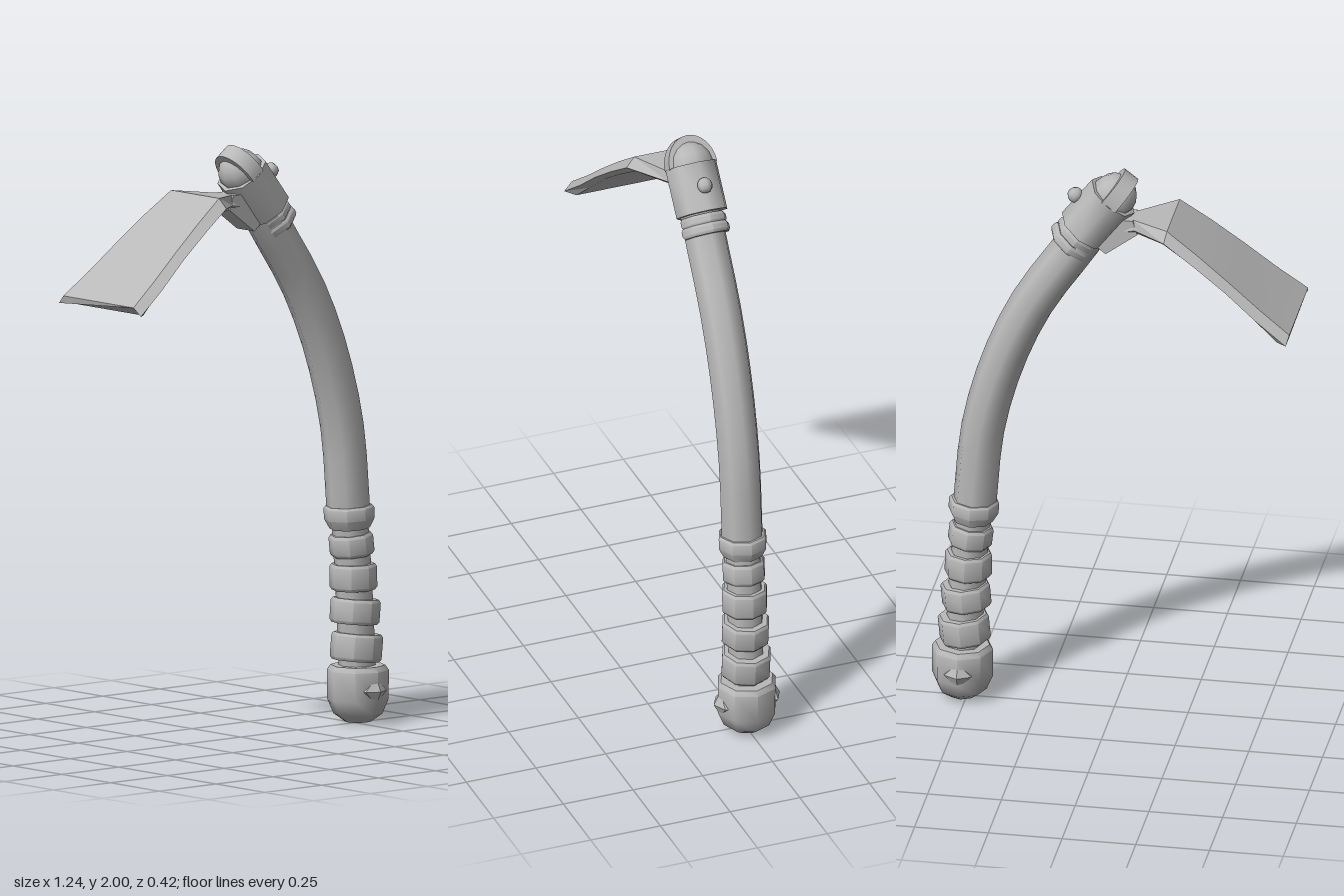
import * as THREE from 'three';
import { toCreasedNormals } from 'three/addons/utils/BufferGeometryUtils.js';

const grey = new THREE.MeshStandardMaterial({ color: 0xb8b8b8 });
grey.name = 'plain grey';

const V = (x, y, z = 0) => new THREE.Vector3(x, y, z);

export function createModel() {
  const model = new THREE.Group();
  model.name = 'hoe';

  function add(name, geometry, parent = model) {
    const mesh = new THREE.Mesh(geometry, grey);
    mesh.name = name;
    parent.add(mesh);
    return mesh;
  }
  // Eight-sided turned part, profile given bottom to top as [radius, height]
  function turned(profile, crease = 0.85) {
    const points = profile.map(([r, y]) => new THREE.Vector2(r, y));
    return toCreasedNormals(new THREE.LatheGeometry(points, 8), crease);
  }
  function band(r, h, inner = 0.055) {
    return turned([[inner, -h], [r - 0.007, -h], [r, -h + 0.01], [r, h - 0.01], [r - 0.007, h], [inner, h]]);
  }

  // Curved shaft
  const shaftPath = new THREE.CatmullRomCurve3([
    V(0.475, 0.70), V(0.445, 1.01), V(0.375, 1.27), V(0.277, 1.49), V(0.125, 1.72), V(0.055, 1.83)]);
  add('shaft', new THREE.TubeGeometry(shaftPath, 12, 0.073, 8));

  // Grip core with its tilted wrappings
  const gripPath = new THREE.CatmullRomCurve3([
    V(0.475, 0.72), V(0.487, 0.6), V(0.503, 0.37), V(0.513, 0.15)]);
  add('gripCore', new THREE.TubeGeometry(gripPath, 6, 0.062, 8));
  const wraps = [
    [0.487, 0.605, 0.075, 0.037, 0.12],
    [0.495, 0.495, 0.080, 0.044, 0.02],
    [0.503, 0.378, 0.084, 0.042, -0.09],
    [0.509, 0.256, 0.087, 0.046, -0.10]];
  for (const [x, y, r, h, tilt] of wraps) {
    const wrap = add('gripWrap', band(r, h));
    wrap.position.set(x, y, 0);
    wrap.rotation.z = tilt;
  }
  const collar = add('gripCollar', turned(
    [[0.06, -0.045], [0.068, -0.045], [0.085, -0.012], [0.085, 0.025], [0.078, 0.033], [0.06, 0.033]], 0.8));
  collar.position.set(0.477, 0.705, 0);
  collar.rotation.z = 0.06;

  // Pommel with a pyramid stud on front and back
  const pommel = add('pommel', turned([[0, 0], [0.045, 0.004], [0.082, 0.03], [0.103, 0.08],
    [0.104, 0.178], [0.092, 0.195], [0, 0.195]]));
  pommel.position.x = 0.515;
  for (const side of [1, -1]) {
    const stud = new THREE.Group();
    stud.name = 'pommelStud';
    stud.position.set(0.515, 0.115, 0);
    stud.rotation.x = side * Math.PI / 2;
    model.add(stud);
    const base = new THREE.CylinderGeometry(0.046, 0.048, 0.035, 4).translate(0, 0.077, 0);
    const tip = new THREE.ConeGeometry(0.046, 0.024, 4).translate(0, 0.1065, 0);
    add('studBase', toCreasedNormals(base, 0.5), stud);
    add('studTip', toCreasedNormals(tip, 0.3), stud);
  }

  // Head fittings, aligned with the upper end of the shaft
  const head = new THREE.Group();
  head.name = 'head';
  head.position.set(0.055, 1.84, 0);
  head.rotation.z = 0.66;
  model.add(head);
  add('socket', turned([[0, -0.083], [0.091, -0.083], [0.091, 0.083], [0, 0.083]]), head);
  add('upperRing', band(0.081, 0.018), head).position.y = -0.107;
  add('lowerRing', band(0.085, 0.018), head).position.y = -0.14;
  const dome = add('shaftEnd', new THREE.SphereGeometry(0.077, 10, 8), head);
  dome.position.y = 0.088;
  const rivet = add('rivet', new THREE.SphereGeometry(0.027, 8, 6), head);
  rivet.position.set(0.098, 0, 0);

  // Strap arching over the shaft end
  const arch = new THREE.Shape();
  arch.absellipse(0, 0, 0.085, 0.103, 0, Math.PI, false);
  arch.absellipse(0, 0, 0.06, 0.078, Math.PI, 0, true);
  const strapShape = new THREE.ExtrudeGeometry(arch, { depth: 0.056, bevelEnabled: false, curveSegments: 8 });
  strapShape.translate(0, 0, -0.028).rotateY(Math.PI / 2);
  add('strap', toCreasedNormals(strapShape, 0.5), head).position.y = 0.08;

  // Blade lofted from six-sided sections: top point, bottom point, half width
  const sections = [
    [0.0, 1.835, 0.0, 1.765, 0.04],
    [-0.07, 1.84, -0.085, 1.79, 0.05],
    [-0.2, 1.852, -0.187, 1.803, 0.153],
    [-0.305, 1.778, -0.295, 1.733, 0.168],
    [-0.413, 1.695, -0.405, 1.655, 0.182],
    [-0.522, 1.607, -0.5, 1.572, 0.196],
    [-0.625, 1.53, -0.582, 1.5, 0.21]];
  const rows = sections.map(([tx, ty, bx, by, w], i) => {
    const last = i === sections.length - 1;
    const mx = last ? -0.618 : (tx + bx) / 2;
    const my = last ? 1.502 : (ty + by) / 2 - 0.008;
    const inner = w - Math.min(0.03, w * 0.3);
    return [V(tx, ty, inner), V(tx, ty, -inner), V(mx, my, -w),
      V(bx, by, -inner), V(bx, by, inner), V(mx, my, w)];
  });
  const corners = [];
  const tri = (a, b, c) => { for (const p of [a, b, c]) corners.push(p.x, p.y, p.z); };
  for (let i = 0; i < rows.length - 1; i++) {
    for (let j = 0; j < 6; j++) {
      const k = (j + 1) % 6, a = rows[i], b = rows[i + 1];
      tri(a[j], a[k], b[k]);
      tri(a[j], b[k], b[j]);
    }
  }
  const first = rows[0], end = rows[rows.length - 1];
  for (let j = 1; j < 5; j++) {
    tri(first[0], first[j + 1], first[j]);
    tri(end[0], end[j], end[j + 1]);
  }
  const blade = new THREE.BufferGeometry();
  blade.setAttribute('position', new THREE.Float32BufferAttribute(corners, 3));
  blade.computeVertexNormals();
  add('blade', toCreasedNormals(blade, 0.2));

  // Tang joining the blade to the underside of the socket
  const tang = new THREE.Shape([[-0.085, 1.79], [0.022, 1.71], [0.06, 1.74], [0.02, 1.84], [-0.07, 1.84]]
    .map(([x, y]) => new THREE.Vector2(x, y)));
  add('tang', new THREE.ExtrudeGeometry(tang, { depth: 0.09, bevelEnabled: false }).translate(0, 0, -0.045));

  return model;
}
